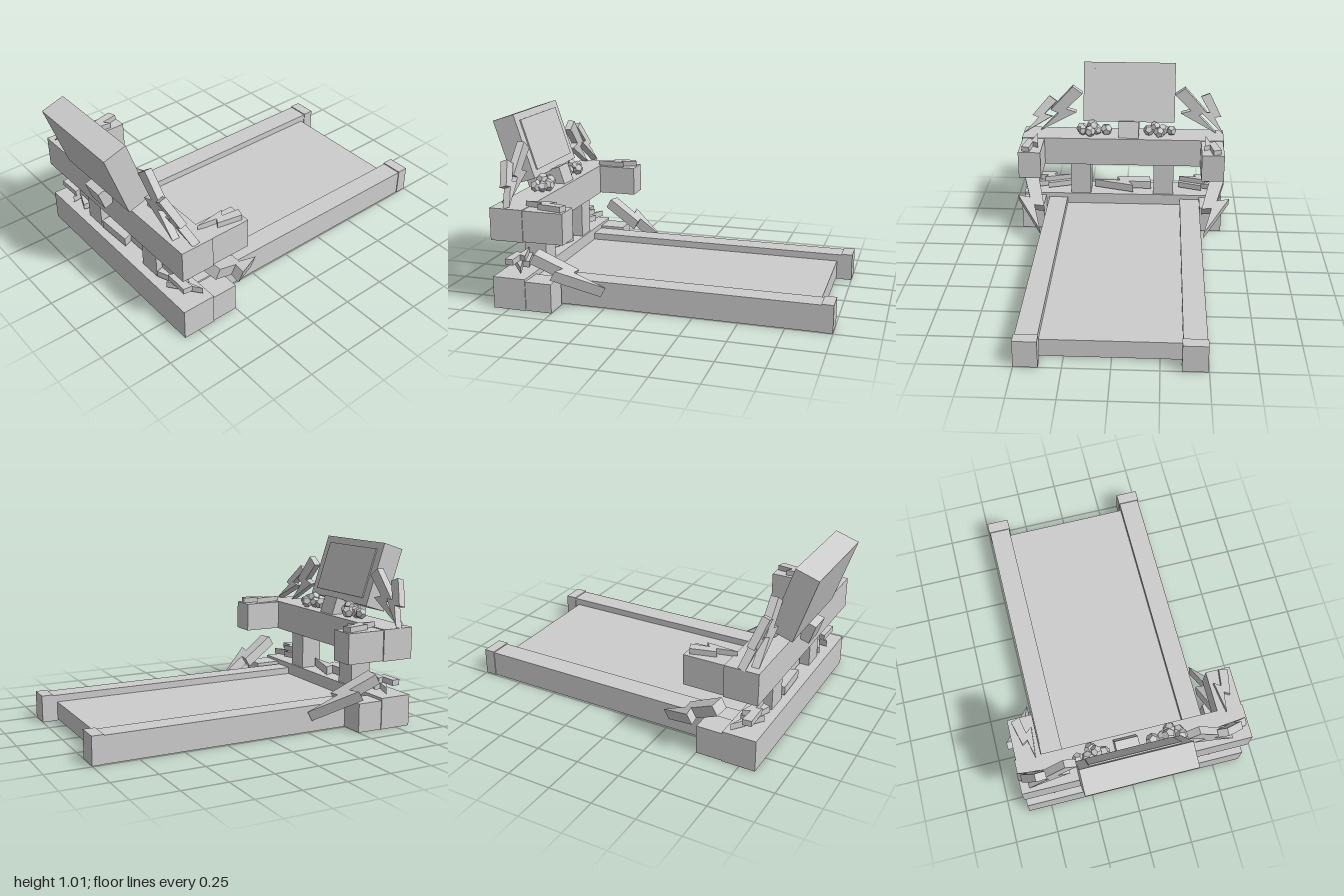
import * as THREE from 'three';

export function createModel() {
  const model = new THREE.Group();
  const grey = new THREE.MeshStandardMaterial({ color: 0xcccccc, flatShading: true });
  grey.name = 'plain grey';

  const add = (name, geometry) => {
    const mesh = new THREE.Mesh(geometry, grey);
    mesh.name = name;
    model.add(mesh);
    return mesh;
  };

  // Box given by its lower and upper limits on each axis
  const box = (name, [x0, x1], [y0, y1], [z0, z1]) => {
    const mesh = add(name, new THREE.BoxGeometry(x1 - x0, y1 - y0, z1 - z0));
    mesh.position.set((x0 + x1) / 2, (y0 + y1) / 2, (z0 + z1) / 2);
    return mesh;
  };

  // Zigzag bolt from its pointed tip to its blunt top; side is where the long spike points
  const outline = [[-0.038, 0.362], [0.039, 0.368], [0.028, 0.221], [0.09, 0.248],
    [0, 0], [0.009, 0.166], [-0.042, 0.149]].map(p => new THREE.Vector2(...p));
  const bolt = (name, tip, top, side, thickness) => {
    const start = new THREE.Vector3(...tip);
    const up = new THREE.Vector3(...top).sub(start);
    const scale = up.length() / 0.365;
    up.normalize();
    const across = new THREE.Vector3(...side);
    across.addScaledVector(up, -across.dot(up)).normalize();
    const normal = new THREE.Vector3().crossVectors(across, up);
    const shape = new THREE.Shape(outline.map(p => p.clone().multiplyScalar(scale)));
    const geometry = new THREE.ExtrudeGeometry(shape, { depth: thickness, bevelEnabled: false });
    geometry.translate(0, 0, -thickness / 2);
    geometry.applyMatrix4(new THREE.Matrix4().makeBasis(across, up, normal).setPosition(start));
    add(name, geometry);
  };

  // Running deck and base
  box('deck', [-0.365, 0.375], [0.008, 0.11], [-0.91, 0.66]);
  box('frontBase', [-0.635, 0.66], [0, 0.18], [0.65, 0.84]);
  for (const [x0, x1] of [[-0.49, -0.365], [0.375, 0.495]]) {
    box('rail', [x0, x1], [0, 0.15], [-0.98, 0.66]);
    box('railEndCap', [x0 - 0.004, x1 + 0.004], [0, 0.156], [-1, -0.935]);
  }

  // Base feet, console arms and posts
  for (const [x0, x1] of [[-0.63, -0.49], [0.515, 0.655]]) {
    box('baseFoot', [x0, x1], [0, 0.165], [0.5, 0.66]);
    box('consoleArm', [x0, x1], [0.393, 0.566], [0.42, 0.66]);
  }
  box('console', [-0.637, 0.66], [0.39, 0.57], [0.65, 0.84]);
  box('leftPost', [0.22, 0.35], [0.17, 0.4], [0.66, 0.79]);
  box('rightPost', [-0.32, -0.19], [0.17, 0.4], [0.66, 0.79]);

  // Leaning monitor with its panel on the rear face
  const lean = 0.32;
  const monitor = add('monitor', new THREE.BoxGeometry(0.59, 0.382, 0.135));
  monitor.position.set(-0.025, 0.81, 0.876);
  monitor.rotation.x = lean;
  const panel = new THREE.Mesh(new THREE.BoxGeometry(0.485, 0.3, 0.009), grey);
  panel.name = 'screenPanel';
  panel.position.z = -0.071;
  monitor.add(panel);
  const neck = add('monitorNeck', new THREE.BoxGeometry(0.13, 0.11, 0.23));
  neck.position.set(-0.025, 0.583, 0.795);
  neck.rotation.x = lean;

  // Rubble on the console
  const stones = [[-0.3, 0.605, 0.73], [-0.22, 0.605, 0.695], [-0.245, 0.605, 0.74],
    [-0.195, 0.635, 0.72], [-0.155, 0.605, 0.73], [0.12, 0.605, 0.73], [0.18, 0.605, 0.72],
    [0.225, 0.605, 0.69], [0.21, 0.63, 0.73], [0.27, 0.605, 0.71], [0.28, 0.61, 0.74]];
  stones.forEach((p, i) => {
    const stone = add('stone', new THREE.DodecahedronGeometry(0.033 + 0.003 * (i % 3)));
    stone.position.set(...p);
    stone.rotation.set(i * 1.3, i * 0.7, i * 2.1);
  });

  // Bolts on top of the console
  bolt('standingBolt', [-0.59, 0.572, 0.797], [-0.353, 0.852, 0.797], [1, 0, 0], 0.042);
  bolt('standingBolt', [0.553, 0.572, 0.797], [0.307, 0.852, 0.797], [-1, 0, 0], 0.042);
  bolt('leaningBolt', [-0.64, 0.572, 0.745], [-0.515, 0.82, 0.82], [1, 0, 0], 0.042);
  bolt('leaningBolt', [0.65, 0.572, 0.745], [0.47, 0.78, 0.82], [-1, 0, 0], 0.042);

  // Bolts lying flat on the arms
  bolt('armBolt', [-0.52, 0.58, 0.67], [-0.585, 0.58, 0.435], [1, 0, 0], 0.034);
  bolt('armBolt', [0.56, 0.58, 0.67], [0.61, 0.58, 0.435], [-1, 0, 0], 0.034);

  // Bolts propped beside the rails and stacked on the base
  for (const s of [-1, 1]) {
    bolt('sideBolt', [s * 0.51, 0.095, 0.255], [s * 0.6, 0.3, 0.615], [s, 0, 0], 0.062);
    bolt('lowerStackBolt', [s * 0.62, 0.213, 0.69], [s * 0.36, 0.213, 0.77], [0, 0, 1], 0.036);
    bolt('upperStackBolt', [s * 0.36, 0.25, 0.76], [s * 0.6, 0.25, 0.77], [0, 0, -1], 0.033);
  }
  bolt('middleBolt', [0.2, 0.215, 0.74], [-0.17, 0.215, 0.76], [0, 0, -1], 0.05);

  return model;
}
